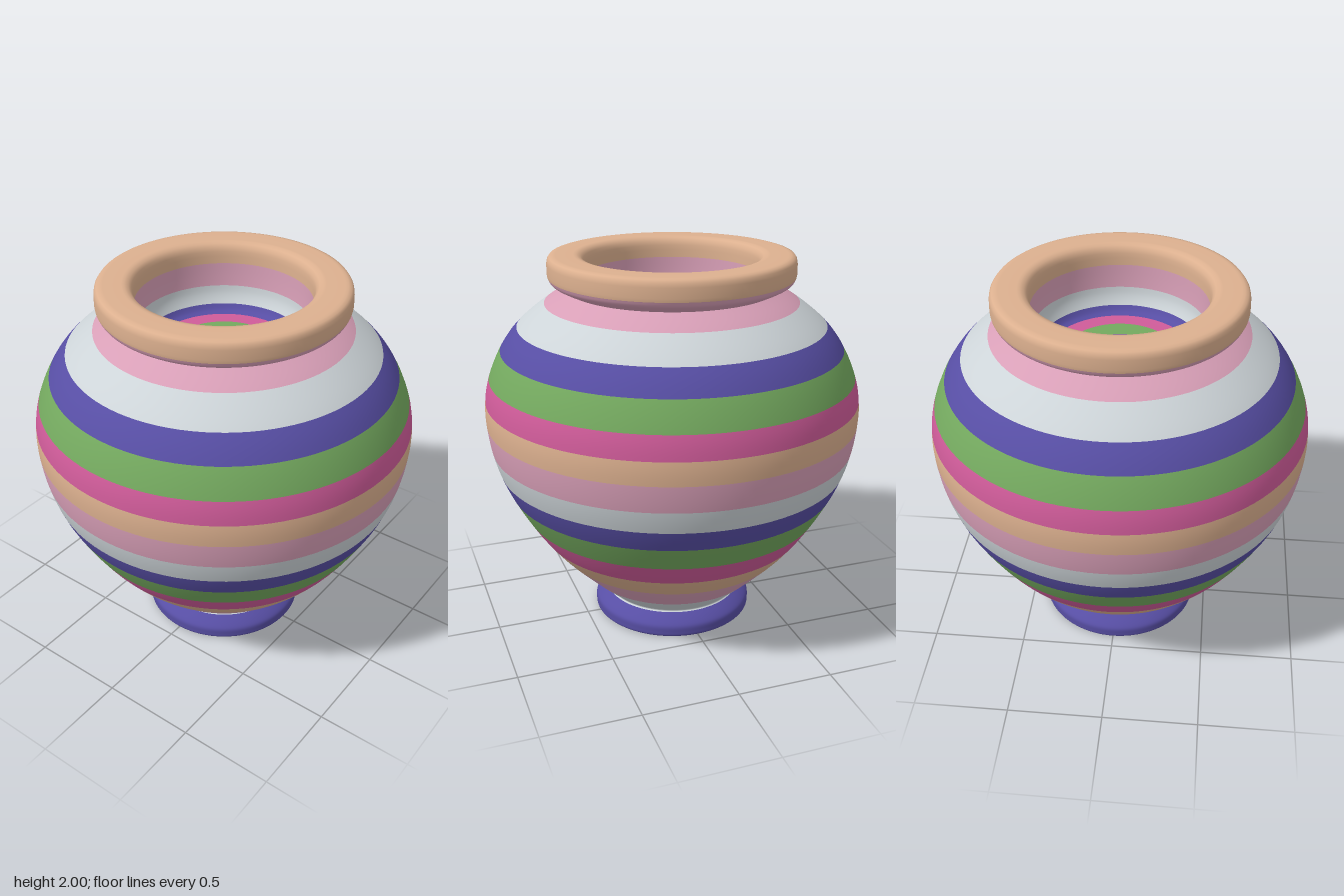
import * as THREE from 'three';

const paint = (name, color) => {
  const m = new THREE.MeshStandardMaterial({ color });
  m.name = name;
  return m;
};

export function createModel() {
  const vase = new THREE.Group();
  vase.name = 'vase';

  const blue = paint('blue', 0x574ea4);
  const grey = paint('grey', 0xcdd4d8);
  const pink = paint('pink', 0xd89fb7);
  const tan = paint('tan', 0xdcb08f);
  const magenta = paint('magenta', 0xcf5b99);
  const green = paint('green', 0x74a95f);
  const cycle = [blue, grey, pink, tan, magenta, green];

  const toPoints = (pairs) => pairs.map(([x, y]) => new THREE.Vector2(x, y));
  const smooth = (pairs, n) => new THREE.SplineCurve(toPoints(pairs)).getPoints(n);

  // Turns a profile into rings, changing colour where the key coordinate crosses each break
  function bands(name, profile, key, breaks, colours) {
    let strip = [profile[0]], k = 0;
    const flush = () => {
      const mesh = new THREE.Mesh(new THREE.LatheGeometry(strip, 96), colours[k % colours.length]);
      mesh.name = `${name}Band${k + 1}`;
      vase.add(mesh);
    };
    for (let i = 1; i < profile.length; i++) {
      const a = profile[i - 1], b = profile[i];
      while (k < breaks.length && (a[key] - breaks[k]) * (b[key] - breaks[k]) <= 0 && a[key] !== b[key]) {
        const cut = a.clone().lerp(b, (breaks[k] - a[key]) / (b[key] - a[key]));
        if (cut.distanceTo(strip[strip.length - 1]) > 1e-5) strip.push(cut);
        flush();
        k++;
        strip = [cut];
      }
      if (b.distanceTo(strip[strip.length - 1]) > 1e-5) strip.push(b);
    }
    flush();
  }

  // Underside of the foot
  bands('underside', toPoints([[0, 0.005], [0.42, 0.005]]), 'x', [0.21, 0.335], [tan, magenta, green]);

  // Foot ring
  bands('foot', smooth([[0.42, 0.005], [0.43, 0.015], [0.431, 0.035], [0.43, 0.06],
    [0.42, 0.078], [0.395, 0.1], [0.365, 0.12]], 24), 'y', [], [blue]);

  // Striped body
  const body = smooth([[0.365, 0.12], [0.36, 0.128], [0.375, 0.145], [0.465, 0.225], [0.62, 0.38],
    [0.72, 0.5], [0.8, 0.62], [0.878, 0.76], [0.928, 0.875], [0.964, 1.0], [0.984, 1.14],
    [0.983, 1.255], [0.958, 1.375], [0.893, 1.52], [0.802, 1.64], [0.66, 1.755], [0.54, 1.825]], 110);
  bands('body', body, 'y', [0.23, 0.375, 0.495, 0.62, 0.76, 0.875, 0.995, 1.135, 1.255,
    1.375, 1.52, 1.64, 1.757], cycle.slice(1).concat(blue));

  // Flared underside of the rim, then the rounded rim
  bands('rimUnderside', smooth([[0.54, 1.825], [0.585, 1.846], [0.62, 1.867], [0.634, 1.892]], 16), 'y', [], [pink]);
  bands('rim', toPoints([[0.634, 1.892], [0.637, 1.91], [0.636, 1.96], [0.632, 1.98], [0.622, 1.994],
    [0.605, 1.999], [0.59, 2], [0.5, 2], [0.485, 1.999], [0.465, 1.992], [0.452, 1.975], [0.447, 1.955],
    [0.445, 1.93], [0.444, 1.89]]), 'y', [], [tan]);

  // Inner wall, curving into the floor
  bands('innerWall', smooth([[0.444, 1.89], [0.442, 1.82], [0.437, 1.75], [0.428, 1.71],
    [0.41, 1.672], [0.39, 1.645], [0.365, 1.632]], 30), 'y', [1.765, 1.672], [pink, grey, blue]);

  // Ringed floor of the hollow
  bands('floor', toPoints([[0.365, 1.632], [0.33, 1.63], [0, 1.63]]), 'x', [0.28, 0.172], [magenta, green, blue]);

  return vase;
}
